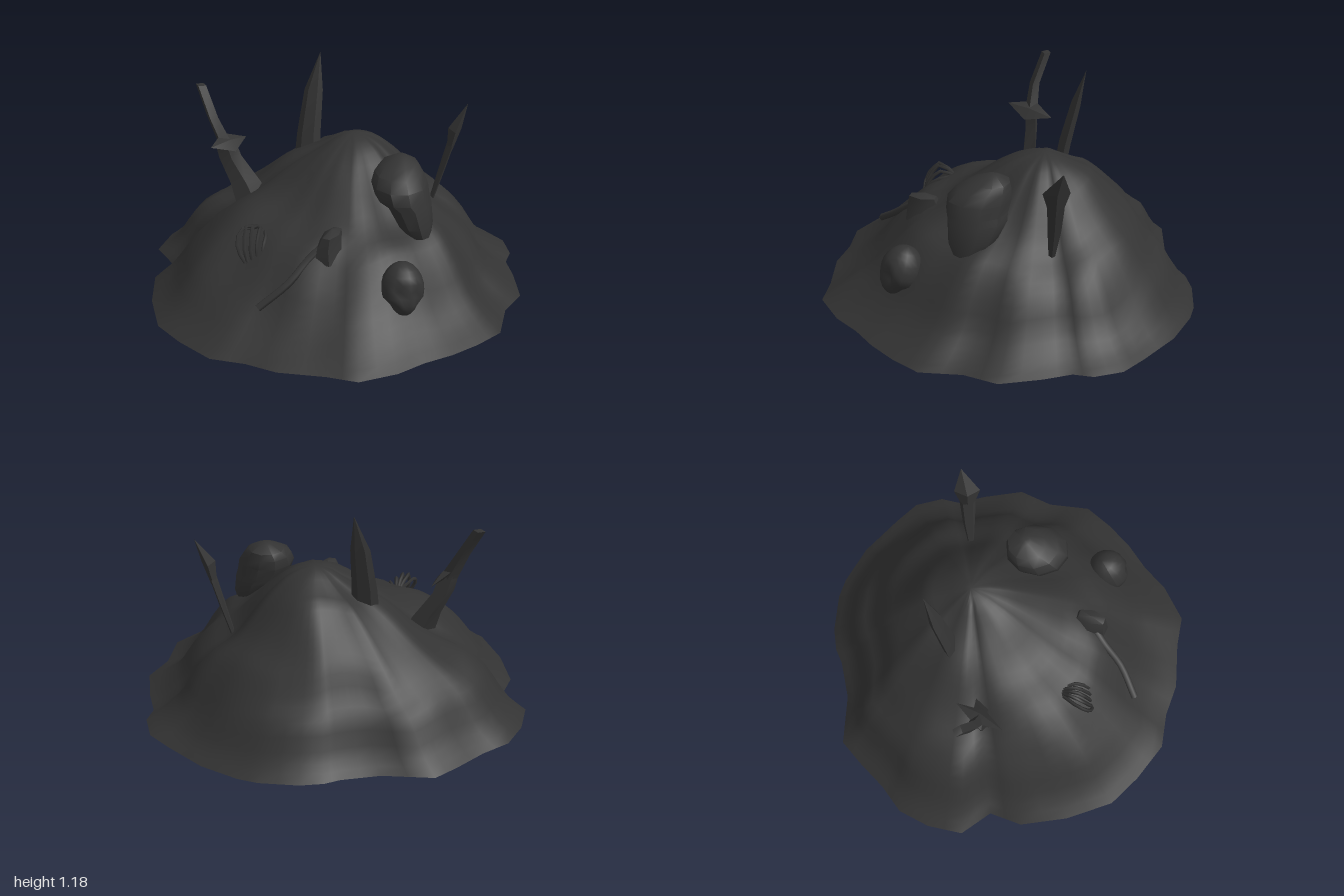
import * as THREE from 'three';
import { toCreasedNormals } from 'three/addons/utils/BufferGeometryUtils.js';

const charcoal = new THREE.MeshStandardMaterial({ color: 0x333333 });
charcoal.name = 'charcoal';

// Closed skin over rows of points, listed from bottom to top
function skin(rows, crease) {
  const n = rows[0].length, index = [];
  for (let r = 0; r < rows.length - 1; r++) {
    for (let i = 0; i < n; i++) {
      const a = r * n + i, b = r * n + (i + 1) % n;
      index.push(a, a + n, b, b, a + n, b + n);
    }
  }
  const geo = new THREE.BufferGeometry();
  geo.setAttribute('position', new THREE.Float32BufferAttribute(rows.flat(2), 3));
  geo.setIndex(index);
  return toCreasedNormals(geo, crease);
}

// Loft of horizontal ellipses [x, y, z, radiusA, radiusB], turned by an angle
function loft(rings, sides, turn = 0, crease = 0.5) {
  const c = Math.cos(turn), s = Math.sin(turn);
  return skin(rings.map(([x, y, z, ra, rb]) =>
    Array.from({ length: sides }, (_, i) => {
      const a = (i / sides) * Math.PI * 2, u = ra * Math.cos(a), v = rb * Math.sin(a);
      return [x + u * c - v * s, y, z + u * s + v * c];
    })), crease);
}

function add(parent, name, geo) {
  const mesh = new THREE.Mesh(geo, charcoal);
  mesh.name = name;
  parent.add(mesh);
  return mesh;
}

// Ragged outline of the mound, x and z
const rim = [
  [1, 0.12], [0.91, 0.28], [0.87, 0.5], [0.75, 0.62], [0.62, 0.72], [0.48, 0.8], [0.35, 0.9],
  [0.16, 0.98], [0, 0.94], [-0.24, 0.91], [-0.4, 0.84], [-0.58, 0.8], [-0.75, 0.65],
  [-0.88, 0.5], [-0.95, 0.25], [-0.97, 0], [-0.9, -0.16], [-1, -0.32], [-0.95, -0.5],
  [-0.86, -0.65], [-0.72, -0.74], [-0.58, -0.86], [-0.46, -0.95], [-0.2, -0.92], [0, -0.95],
  [0.08, -0.98], [0.2, -0.99], [0.4, -0.96], [0.5, -0.92], [0.68, -0.8], [0.85, -0.62],
  [0.95, -0.5], [0.98, -0.35], [0.95, -0.25], [0.98, -0.1],
];

// Slope heights from peak to rim, for the four sides
const steps = [0, 0.07, 0.15, 0.3, 0.45, 0.6, 0.7, 0.8, 0.9, 1];
const slopes = {
  left: [0.82, 0.81, 0.77, 0.64, 0.5, 0.395, 0.29, 0.14, 0.07, 0.02],
  right: [0.82, 0.81, 0.755, 0.64, 0.53, 0.43, 0.365, 0.27, 0.11, 0.02],
  front: [0.82, 0.81, 0.77, 0.64, 0.53, 0.44, 0.32, 0.19, 0.1, 0.025],
  back: [0.82, 0.81, 0.78, 0.72, 0.59, 0.46, 0.33, 0.26, 0.1, 0.02],
};
const peak = [0.1, -0.2];

// Local swellings [x, z, radius, height]: side shoulder, ridge head, bed of the skull
const swells = [[-0.62, 0.2, 0.16, 0.04], [0, 0.42, 0.09, 0.03], [0.42, 0.5, 0.12, 0.03]];

function sample(list, t) {
  let i = 1;
  while (i < steps.length - 1 && steps[i] < t) i++;
  return THREE.MathUtils.mapLinear(t, steps[i - 1], steps[i], list[i - 1], list[i]);
}

function moundGeometry() {
  const outline = rim.flatMap((p, i) => {
    const q = rim[(i + 1) % rim.length];
    return [p, [(p[0] + q[0]) / 2, (p[1] + q[1]) / 2]];
  });
  // Flat underside, tucked in a little below the rim
  const rows = [outline.map(() => [0, 0, 0]), outline.map(([x, z]) => [x * 0.95, 0.004, z * 0.95])];
  const count = 24;
  for (let k = count; k >= 0; k--) {
    const t = k / count;
    rows.push(outline.map(([px, pz]) => {
      const dx = px - peak[0], dz = pz - peak[1];
      const wx = (dx * dx) / (dx * dx + dz * dz);
      const x = peak[0] + dx * t, z = peak[1] + dz * t;
      let y = wx * sample(dx > 0 ? slopes.left : slopes.right, t)
        + (1 - wx) * sample(dz > 0 ? slopes.front : slopes.back, t);
      // Lumps and hollows of loose ash
      y += 0.05 * t * (1 - t) * (Math.sin(11 * x + 7 * z) + Math.sin(9 * z - 13 * x + 1));
      for (const [sx, sz, r, h] of swells) {
        y += h * (1 - t ** 6) * Math.exp(-((x - sx) ** 2 + (z - sz) ** 2) / (r * r));
      }
      return [x, y, z];
    }));
  }
  return skin(rows, 0.9);
}

export function createModel() {
  const model = new THREE.Group();
  model.name = 'ashMound';
  add(model, 'mound', moundGeometry());

  // Half-buried helmet with a pinched visor
  add(model, 'helmet', loft([
    [0.45, 0.42, 0.22, 0, 0], [0.45, 0.44, 0.23, 0.06, 0.07], [0.425, 0.5, 0.2, 0.095, 0.125],
    [0.39, 0.6, 0.17, 0.12, 0.155], [0.36, 0.635, 0.17, 0.14, 0.16], [0.345, 0.7, 0.155, 0.145, 0.165],
    [0.34, 0.75, 0.13, 0.125, 0.14], [0.345, 0.785, 0.1, 0.095, 0.1], [0.35, 0.82, 0.09, 0.03, 0.03],
    [0.35, 0.822, 0.09, 0, 0],
  ], 10, 0, 0.7));

  // Skull with dented eye sockets and a narrow jaw
  const cranium = new THREE.SphereGeometry(1, 16, 12);
  const p = cranium.attributes.position;
  for (let i = 0; i < p.count; i++) {
    const v = new THREE.Vector3().fromBufferAttribute(p, i);
    const socket = v.z > 0 && Math.abs(Math.abs(v.x) - 0.4) < 0.22 && Math.abs(v.y + 0.1) < 0.25;
    if (socket) v.z *= 0.72;
    if (v.y < -0.3) v.x *= 0.8;
    p.setXYZ(i, v.x * 0.11, v.y * 0.14, v.z * 0.11);
  }
  cranium.computeVertexNormals();
  const skull = add(model, 'skull', cranium);
  skull.position.set(0.365, 0.305, 0.56);
  skull.rotation.set(-0.3, 0.4, 0);

  // Faceted shard and the ridge that runs down from it
  add(model, 'shard', loft([
    [0, 0.4, 0.42, 0.08, 0.11], [0, 0.48, 0.42, 0.06, 0.1], [0.01, 0.54, 0.43, 0.04, 0.08], [0.01, 0.56, 0.42, 0, 0],
  ], 6, 0.4, 0.8));
  const ridge = new THREE.CatmullRomCurve3([
    [0, 0.5, 0.42], [-0.1, 0.43, 0.49], [-0.2, 0.335, 0.58], [-0.35, 0.23, 0.65],
  ].map((a) => new THREE.Vector3(...a)));
  add(model, 'ridge', new THREE.TubeGeometry(ridge, 10, 0.02, 5));

  // Bony hand: thin bent fingers over a buried palm
  const hand = new THREE.Group();
  hand.name = 'hand';
  for (let i = 0; i < 5; i++) {
    const s = i / 4, x = -0.46 + 0.13 * s;
    const curve = new THREE.CatmullRomCurve3([
      new THREE.Vector3(-0.38 + 0.03 * s, 0.46, 0.24),
      new THREE.Vector3(x, 0.49 + 0.03 * Math.sin(s * 4), 0.32),
      new THREE.Vector3(x - 0.01, 0.42, 0.39),
      new THREE.Vector3(x + 0.03 - 0.04 * s, 0.32 + 0.03 * Math.cos(i * 2), 0.41),
    ]);
    add(hand, 'finger', new THREE.TubeGeometry(curve, 6, 0.01, 4));
  }
  model.add(hand);

  // Sword stuck blade-down, with a pointed crossguard
  const sword = new THREE.Group();
  sword.name = 'sword';
  add(sword, 'swordBlade', loft([
    [-0.43, 0.4, -0.17, 0.1, 0.035], [-0.48, 0.52, -0.18, 0.08, 0.035], [-0.56, 0.66, -0.2, 0.06, 0.035],
    [-0.585, 0.75, -0.2, 0.055, 0.035],
  ], 4, -0.3));
  add(sword, 'swordGrip', loft([
    [-0.585, 0.74, -0.2, 0.045, 0.035], [-0.65, 0.88, -0.225, 0.034, 0.028],
    [-0.715, 1.035, -0.295, 0.032, 0.026], [-0.715, 1.04, -0.295, 0, 0],
  ], 4, 0.4));
  const guard = add(sword, 'crossguard', loft([
    [0, -0.14, 0, 0, 0], [0, 0, 0, 0.065, 0.02], [0, 0.14, 0, 0, 0],
  ], 4));
  guard.position.set(-0.565, 0.75, -0.19);
  guard.quaternion.setFromUnitVectors(new THREE.Vector3(0, 1, 0), new THREE.Vector3(0.16, -0.03, -0.22).normalize());
  model.add(sword);

  // Broad broken blade near the peak
  add(model, 'tallBlade', loft([
    [-0.15, 0.6, -0.31, 0.075, 0.035], [-0.145, 0.75, -0.335, 0.064, 0.035],
    [-0.12, 0.98, -0.385, 0.05, 0.028], [-0.085, 1.18, -0.43, 0, 0],
  ], 6, 0.15));

  // Spear with a leaf-shaped head
  const spear = new THREE.Group();
  spear.name = 'spear';
  add(spear, 'spearShaft', loft([
    [0.515, 0.41, -0.19, 0.012, 0.014], [0.57, 0.6, -0.195, 0.018, 0.035], [0.615, 0.76, -0.195, 0.02, 0.045],
  ], 5));
  add(spear, 'spearHead', loft([
    [0.61, 0.72, -0.195, 0.015, 0.03], [0.635, 0.85, -0.195, 0.035, 0.068], [0.7, 0.98, -0.22, 0, 0],
  ], 4));
  model.add(spear);
  return model;
}
